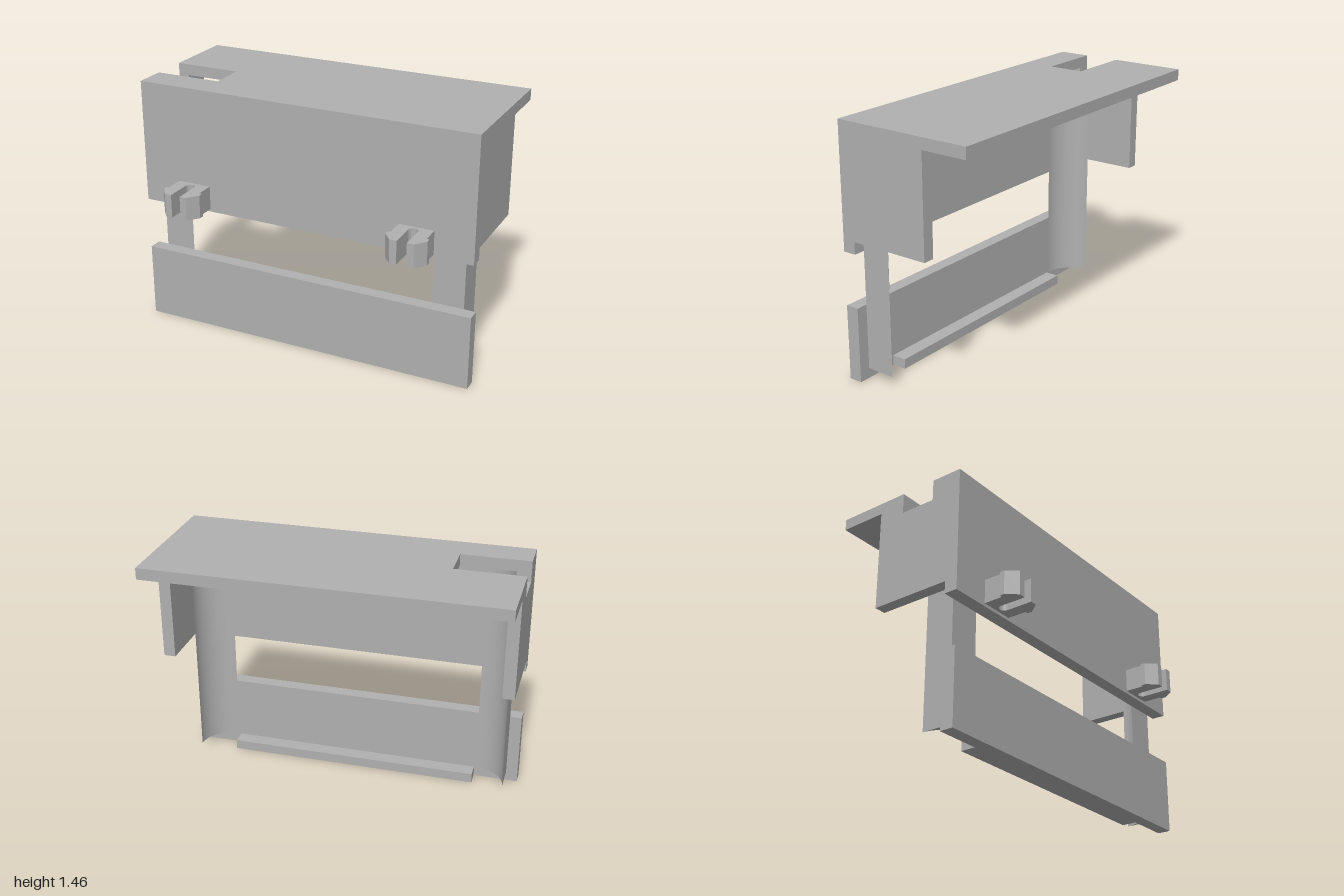
import * as THREE from 'three';
import { toCreasedNormals } from 'three/addons/utils/BufferGeometryUtils.js';

export function createModel() {
  const group = new THREE.Group();
  const grey = new THREE.MeshStandardMaterial({ color: 0xb0b0b0 });
  grey.name = 'plainGrey';

  const add = (name, geometry) => {
    const mesh = new THREE.Mesh(geometry, grey);
    mesh.name = name;
    group.add(mesh);
  };
  const polygon = (points) => new THREE.Shape(points.map(([a, b]) => new THREE.Vector2(a, b)));
  const extrude = (shape, depth) =>
    new THREE.ExtrudeGeometry(shape, { depth, bevelEnabled: false, curveSegments: 20 });

  // Box given by its limits on each axis
  const box = (x0, x1, y0, y1, z0, z1) =>
    new THREE.BoxGeometry(x1 - x0, y1 - y0, z1 - z0)
      .translate((x0 + x1) / 2, (y0 + y1) / 2, (z0 + z1) / 2);

  // Outline in (x, z), raised from y0 to y1
  const plan = (shape, y0, y1) =>
    toCreasedNormals(extrude(shape, y1 - y0).rotateX(Math.PI / 2).translate(0, y1, 0), 0.5);

  // Outline in (z, y), running from x0 to x1
  const profile = (points, x0, x1) =>
    extrude(polygon(points), x1 - x0).rotateY(-Math.PI / 2).translate(x1, 0, 0);

  const top = 1.455, plateBottom = 1.39, notchFloor = 1.335;
  const front = 0.312, panelBack = 0.235, back = -0.512;
  const notchBack = -0.08, notchFront = 0.13;

  // Top plate with a slot open at one end
  add('topPlate', plan(polygon([
    [-1, back], [1, back], [1, front], [-1, front],
    [-1, notchFront], [-0.61, notchFront], [-0.61, notchBack], [-1, notchBack],
  ]), plateBottom, top));

  // Front panels and the bottom ledge
  add('upperFrontPanel', box(-1, 1, 0.74, plateBottom, panelBack, front));
  add('lowerFrontPanel', box(-1, 1, 0, 0.433, panelBack, front));
  add('bottomLedge', box(-0.74, 0.74, 0, 0.057, 0.15, panelBack));

  // End walls, the right one notched at its top
  add('leftEndWall', box(0.933, 1, 0.81, plateBottom, -0.24, panelBack));
  add('rightEndWall', profile([
    [-0.24, 0.81], [panelBack, 0.81], [panelBack, plateBottom], [notchFront, plateBottom],
    [notchFront, notchFloor], [notchBack, notchFloor], [notchBack, plateBottom], [-0.24, plateBottom],
  ], -1, -0.933));

  // Corner posts with a hollow curved inner face; zEnd trims the thin back edge
  const post = (side, y0, y1, zEnd) => {
    const cx = 0.75, cz = 0.065, rx = 0.183, rz = panelBack - cz;
    const end = Math.asin((zEnd - cz) / rz);
    const points = [[side * (cx + rx), panelBack]];
    for (let i = 0; i <= 20; i++) {
      const a = Math.PI / 2 + (end - Math.PI / 2) * i / 20;
      points.push([side * (cx + rx * Math.cos(a)), cz + rz * Math.sin(a)]);
    }
    if (end > 0) points.push([side * (cx + rx), zEnd]);
    return plan(polygon(points.filter((p, i) => i !== 0 || p[1] !== points[points.length - 1][1])), y0, y1);
  };
  add('leftPost', post(1, 0.057, plateBottom, 0.065));
  add('rightPost', post(-1, 0.057, notchFloor, 0.065));
  add('rightPostTop', post(-1, notchFloor, plateBottom, notchFront));

  // Split snap clips with barbed tips
  for (const [name, x] of [['leftClip', 0.677], ['rightClip', -0.677]]) {
    const clip = new THREE.Shape();
    clip.moveTo(x - 0.1, front);
    for (const [dx, z] of [[-0.1, 0.422], [-0.117, 0.422], [-0.117, 0.45], [-0.068, 0.512], [-0.028, 0.512], [-0.028, 0.36]])
      clip.lineTo(x + dx, z);
    clip.absarc(x, 0.36, 0.028, Math.PI, Math.PI * 2, false);
    for (const [dx, z] of [[0.028, 0.512], [0.068, 0.512], [0.117, 0.45], [0.117, 0.422], [0.1, 0.422], [0.1, front]])
      clip.lineTo(x + dx, z);
    add(name, plan(clip, 0.757, 0.893));
  }

  return group;
}
